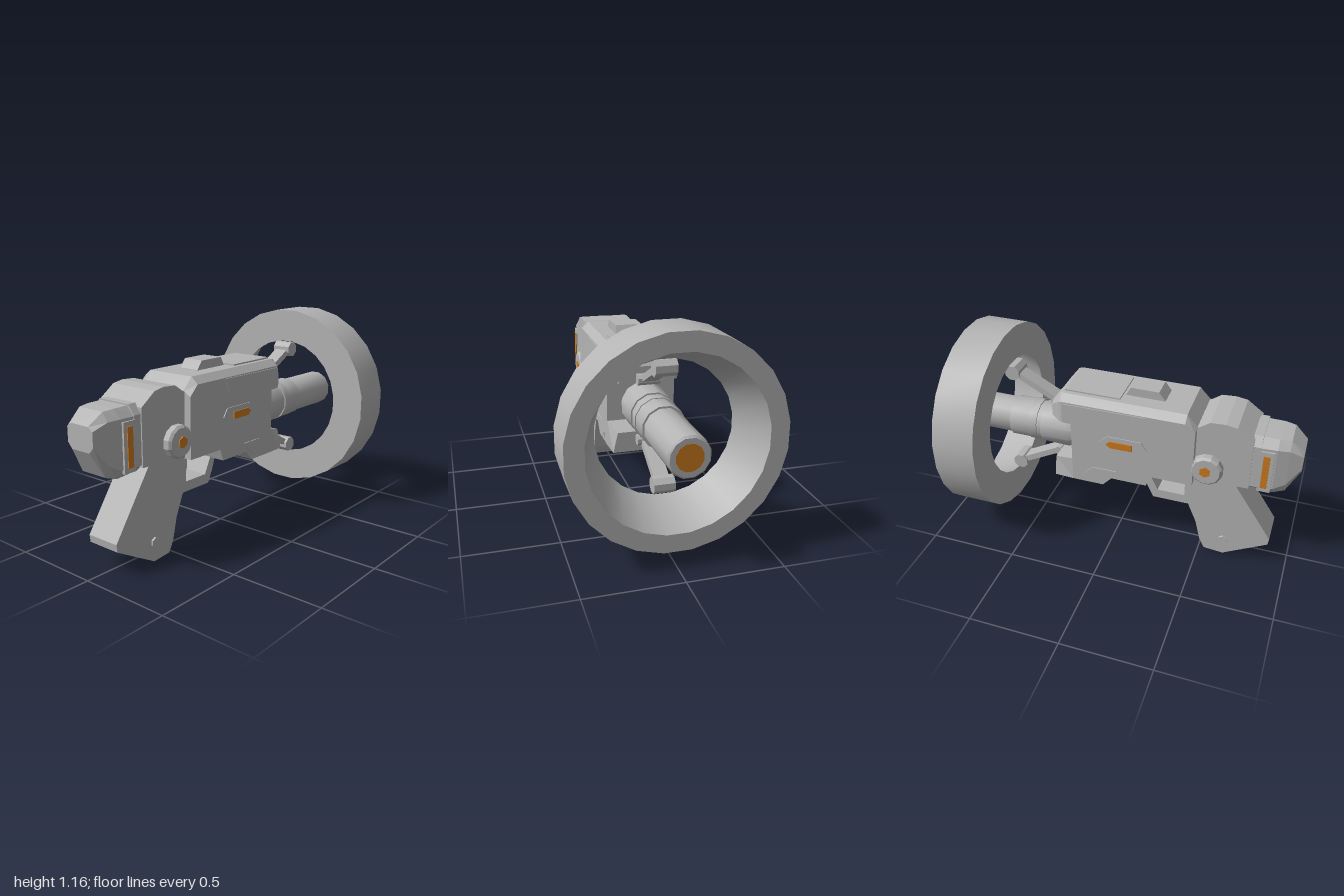
import * as THREE from 'three';
import { toCreasedNormals } from 'three/addons/utils/BufferGeometryUtils.js';

const AXIS_Y = 0.637; // height of the barrel axis

export function createModel() {
  const model = new THREE.Group();
  model.name = 'ringBlaster';
  const grey = new THREE.MeshStandardMaterial({ color: 0xb4b4b4 });
  grey.name = 'grey';
  const orange = new THREE.MeshStandardMaterial({ color: 0xcc7a1e });
  orange.name = 'orange';

  function add(name, geometry, material = grey) {
    const mesh = new THREE.Mesh(geometry, material);
    mesh.name = name;
    model.add(mesh);
    return mesh;
  }

  // Side outline extruded across the width, with an optional chamfer
  function prism(name, pts, halfWidth, bevel = 0, material = grey) {
    const shape = new THREE.Shape(pts.map(([x, y]) => new THREE.Vector2(x, y)));
    const geo = new THREE.ExtrudeGeometry(shape, {
      depth: 2 * (halfWidth - bevel), bevelEnabled: bevel > 0, bevelSegments: 1,
      bevelThickness: bevel, bevelSize: bevel, bevelOffset: -bevel,
    });
    geo.translate(0, 0, bevel - halfWidth);
    return add(name, geo, material);
  }

  // Thin plate on both flanks, with its outer face at z = ±zOut
  function plates(name, pts, zOut, material = grey, thick = 0.008) {
    const shape = new THREE.Shape(pts.map(([x, y]) => new THREE.Vector2(x, y)));
    for (const side of [1, -1]) {
      const geo = new THREE.ExtrudeGeometry(shape, { depth: thick, bevelEnabled: false });
      geo.translate(0, 0, side > 0 ? zOut - thick : -zOut);
      add(name, geo, material);
    }
  }

  // Loft along x: each station is [x, [y, halfWidth] ...] from top to bottom
  function loft(name, stations) {
    const rings = stations.map(([x, ...half]) => [
      ...half.map(([y, z]) => new THREE.Vector3(x, y, z)),
      ...half.slice().reverse().map(([y, z]) => new THREE.Vector3(x, y, -z)),
    ]);
    const pos = [];
    const tri = (...v) => v.forEach((p) => pos.push(p.x, p.y, p.z));
    const n = rings[0].length, last = rings[rings.length - 1];
    for (let s = 0; s < rings.length - 1; s++) {
      for (let i = 0; i < n; i++) {
        const j = (i + 1) % n, a = rings[s], b = rings[s + 1];
        tri(a[i], a[j], b[j]);
        tri(a[i], b[j], b[i]);
      }
    }
    for (let i = 1; i < n - 1; i++) {
      tri(last[0], last[i], last[i + 1]);
      tri(rings[0][0], rings[0][i + 1], rings[0][i]);
    }
    const geo = new THREE.BufferGeometry();
    geo.setAttribute('position', new THREE.Float32BufferAttribute(pos, 3));
    geo.computeVertexNormals();
    return add(name, geo);
  }

  // Turned part around the barrel axis, profile given as [x, radius]
  function turned(name, profile, sides) {
    const geo = new THREE.LatheGeometry(
      profile.map(([x, r]) => new THREE.Vector2(r, x)), sides, Math.PI / sides);
    geo.rotateZ(-Math.PI / 2);
    geo.translate(0, AXIS_Y, 0);
    return add(name, toCreasedNormals(geo, 0.6));
  }

  // Regular polygon as outline points
  const polygon = (cx, cy, r, n, turn = 0) => Array.from({ length: n }, (_, i) => {
    const a = turn + (i / n) * Math.PI * 2;
    return [cx + r * Math.cos(a), cy + r * Math.sin(a)];
  });

  // Front ring with a tapered bore
  turned('frontRing', [[0.64, 0.35], [0.64, 0.54], [0.88, 0.54], [0.88, 0.445], [0.64, 0.35]], 24);

  // Stepped barrel and glowing muzzle
  turned('barrel', [
    [0.2, 0.105], [0.23, 0.105], [0.29, 0.125], [0.45, 0.12], [0.45, 0.112], [0.475, 0.112],
    [0.475, 0.119], [0.525, 0.119], [0.525, 0.115], [0.64, 0.115], [0.64, 0.105],
    [0.99, 0.105], [1, 0.095], [1, 0.06],
  ], 12);
  const muzzle = add('muzzleLight',
    new THREE.CylinderGeometry(0.068, 0.068, 0.006, 12, 1, false, Math.PI / 12), orange);
  muzzle.rotation.z = -Math.PI / 2;
  muzzle.position.set(0.998, AXIS_Y, 0);

  // Receiver: upper shell, middle block and lower shell
  loft('upperBody', [
    [-0.455, [0.87, 0.14], [0.845, 0.185], [0.75, 0.185]],
    [-0.4, [0.935, 0.145], [0.9, 0.185], [0.75, 0.185]],
    [0.28, [0.935, 0.145], [0.9, 0.185], [0.77, 0.185]],
    [0.3, [0.93, 0.14], [0.89, 0.175], [0.772, 0.178]],
    [0.35, [0.865, 0.13], [0.85, 0.145], [0.785, 0.15]],
  ]);
  prism('middleBody', [[-0.455, 0.52], [0.23, 0.52], [0.23, 0.77], [-0.455, 0.77]], 0.185);
  loft('lowerBody', [
    [-0.225, [0.54, 0.185], [0.52, 0.185]],
    [-0.2, [0.54, 0.185], [0.455, 0.185]],
    [0, [0.54, 0.185], [0.455, 0.185]],
    [0.05, [0.54, 0.185], [0.4, 0.185]],
    [0.23, [0.54, 0.185], [0.4, 0.185]],
    [0.34, [0.51, 0.155], [0.4, 0.18]],
  ]);

  // Top plate and sight block
  prism('topPlate', [[-0.03, 0.92], [0.29, 0.92], [0.28, 0.943], [-0.03, 0.943]], 0.12);
  prism('sight', [[-0.26, 0.92], [-0.045, 0.92], [-0.045, 0.937], [-0.07, 0.983], [-0.225, 0.983], [-0.26, 0.937]], 0.06);

  // Flank panels and indicator lights
  plates('upperPanel', [[-0.155, 0.83], [0.17, 0.83], [0.275, 0.89], [-0.19, 0.895]], 0.19);
  plates('lowerPanel', [[-0.03, 0.51], [0.07, 0.42], [0.165, 0.42], [0.165, 0.45], [0.11, 0.51]], 0.19);
  plates('indicatorPanel', [[-0.17, 0.645], [0.02, 0.645], [0.075, 0.69], [0.02, 0.735], [-0.17, 0.735], [-0.2, 0.69]], 0.19);
  plates('indicatorLight', [[-0.12, 0.668], [0.005, 0.668], [0.028, 0.688], [0.005, 0.708], [-0.12, 0.708]], 0.195, orange);

  // Rounded rear housing with hinge discs
  prism('rearHousing', [
    [-0.75, 0.545], [-0.55, 0.54], [-0.44, 0.52], [-0.44, 0.86], [-0.47, 0.875], [-0.52, 0.91],
    [-0.6, 0.915], [-0.66, 0.905], [-0.75, 0.84],
  ], 0.145);
  prism('hingeDisc', polygon(-0.525, 0.63, 0.087, 12, Math.PI / 12), 0.19, 0.012);
  plates('hingeLight', polygon(-0.52, 0.63, 0.031, 6, Math.PI / 6), 0.196, orange);

  // Tail cap with its band and light strips
  loft('tailCap', [
    [-1, [0.785, 0.06], [0.765, 0.088], [0.69, 0.088], [0.66, 0.06]],
    [-0.93, [0.845, 0.08], [0.8, 0.112], [0.59, 0.112], [0.53, 0.08]],
    [-0.87, [0.85, 0.09], [0.805, 0.128], [0.56, 0.128], [0.51, 0.09]],
    [-0.74, [0.852, 0.09], [0.805, 0.135], [0.56, 0.135], [0.52, 0.09]],
  ]);
  loft('tailBand', [-0.79, -0.745].map((x) =>
    [x, [0.858, 0.1], [0.81, 0.138], [0.56, 0.138], [0.535, 0.1]]));
  plates('tailStripFrame', [[-0.86, 0.54], [-0.79, 0.54], [-0.79, 0.79], [-0.86, 0.79]], 0.14, grey, 0.02);
  plates('tailLight', [[-0.84, 0.565], [-0.806, 0.565], [-0.806, 0.765], [-0.84, 0.765]], 0.145, orange);

  // Grip with screws, trigger and guard
  prism('grip', [
    [-0.65, 0.55], [-0.895, 0.185], [-0.89, 0.145], [-0.645, 0.008], [-0.535, 0.018],
    [-0.505, 0.075], [-0.475, 0.2], [-0.4, 0.375], [-0.4, 0.53],
  ], 0.098);
  prism('gripScrew', polygon(-0.64, 0.115, 0.026, 6, Math.PI / 6), 0.11);
  prism('triggerGuard', [
    [-0.42, 0.315], [-0.22, 0.315], [-0.185, 0.385], [-0.16, 0.46], [-0.2, 0.46], [-0.245, 0.37], [-0.42, 0.37],
  ], 0.095);
  prism('trigger', [[-0.375, 0.53], [-0.375, 0.45], [-0.35, 0.4], [-0.325, 0.4], [-0.32, 0.53]], 0.035);

  // Struts holding the ring, above and below the barrel
  for (const side of [1, -1]) {
    const a = new THREE.Vector2(0.365, AXIS_Y + side * 0.165);
    const b = new THREE.Vector2(0.625, AXIS_Y + side * 0.303);
    const d = b.clone().sub(a);
    const strut = add('strut', new THREE.BoxGeometry(d.length(), 0.035, 0.08));
    strut.position.set((a.x + b.x) / 2, (a.y + b.y) / 2, 0);
    strut.rotation.z = d.angle();
    prism('bodyPivot', polygon(a.x, a.y, 0.03, 8, Math.PI / 8), 0.06);
    prism('ringPivot', polygon(b.x, b.y, 0.045, 8, Math.PI / 8), 0.055);
    // Bracket tying the strut to the receiver
    prism('bodyBracket', [-0.022, 0.022].flatMap((y, i) => (i
      ? [[a.x, a.y + y], [0.28, a.y + y]] : [[0.28, a.y + y], [a.x, a.y + y]])), 0.045);
  }
  return model;
}
